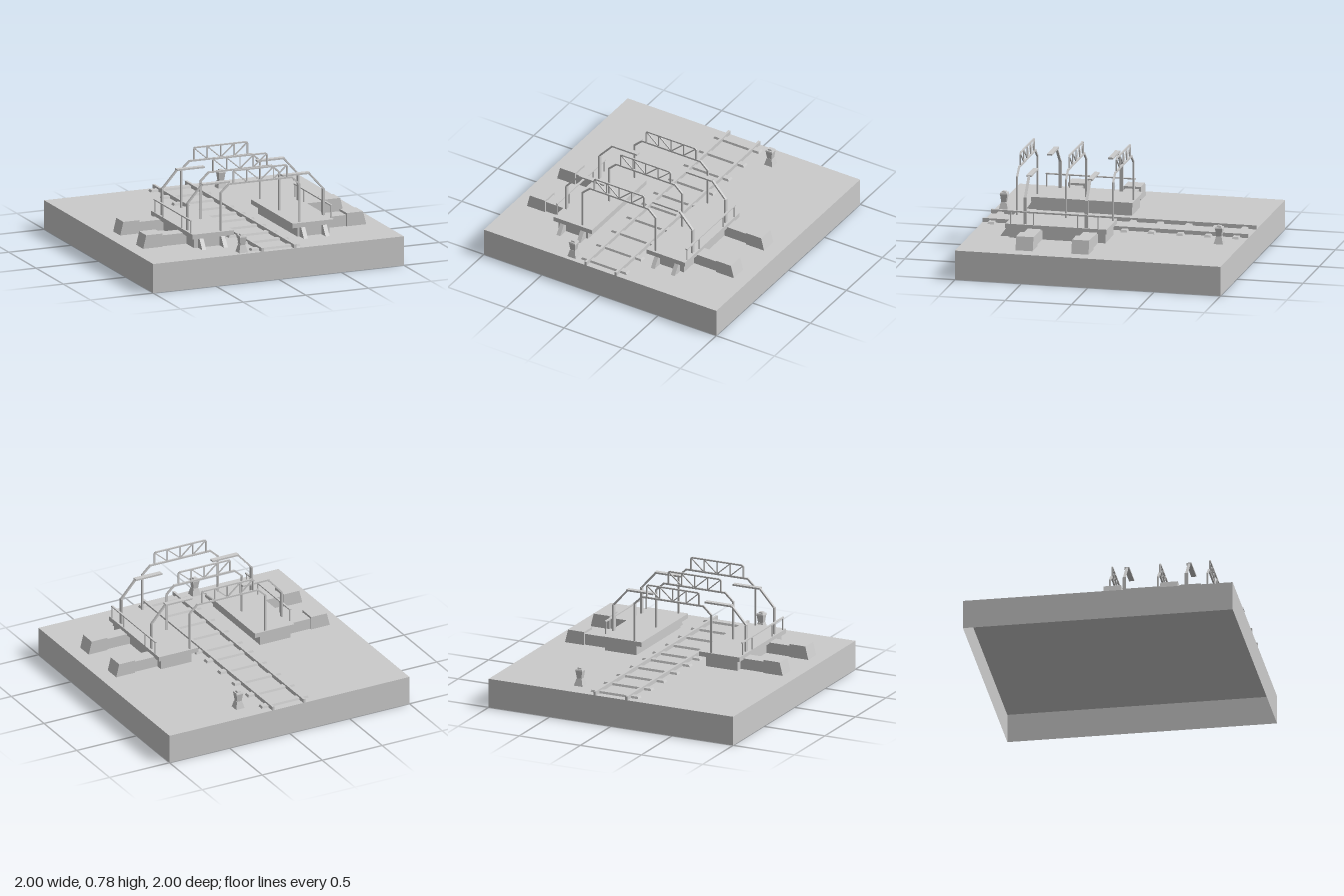
import * as THREE from 'three';

const GROUND = 0.22, DECK = 0.33;

export function createModel() {
  const model = new THREE.Group();
  const mat = new THREE.MeshStandardMaterial({ color: 0xcccccc, flatShading: true });
  const thinMat = new THREE.MeshStandardMaterial({ color: 0xcccccc, flatShading: true, side: THREE.DoubleSide });

  const add = (parent, name, geo, material = mat) => {
    const mesh = new THREE.Mesh(geo, material);
    mesh.name = name;
    parent.add(mesh);
    return mesh;
  };
  const group = (name, parent = model) => {
    const g = new THREE.Group();
    g.name = name;
    parent.add(g);
    return g;
  };
  // Box given by its limits
  const block = (parent, name, x0, x1, y0, y1, z0, z1) => {
    const m = add(parent, name, new THREE.BoxGeometry(x1 - x0, y1 - y0, z1 - z0));
    m.position.set((x0 + x1) / 2, (y0 + y1) / 2, (z0 + z1) / 2);
    return m;
  };
  // Box whose top face has its own limits: [x0, x1, z0, z1]
  const taper = (parent, name, bottom, top, y0, y1) => {
    const geo = new THREE.BoxGeometry(2, 2, 2);
    const p = geo.attributes.position;
    for (let i = 0; i < p.count; i++) {
      const up = p.getY(i) > 0, r = up ? top : bottom;
      p.setXYZ(i, p.getX(i) > 0 ? r[1] : r[0], up ? y1 : y0, p.getZ(i) > 0 ? r[3] : r[2]);
    }
    geo.computeVertexNormals();
    return add(parent, name, geo);
  };
  // Square bars following points in an upright x-y plane
  const bars = (parent, name, points, z, w, depth = w) => {
    for (let i = 0; i < points.length - 1; i++) {
      const [ax, ay] = points[i], [bx, by] = points[i + 1];
      const m = add(parent, name, new THREE.BoxGeometry(Math.hypot(bx - ax, by - ay) + w * 0.4, w, depth));
      m.position.set((ax + bx) / 2, (ay + by) / 2, z);
      m.rotation.z = Math.atan2(by - ay, bx - ax);
    }
  };

  // Ground slab, open underneath
  const base = new THREE.BoxGeometry(2, GROUND, 2);
  const idx = Array.from(base.index.array);
  idx.splice(18, 6);
  base.setIndex(idx);
  base.clearGroups();
  add(model, 'groundBase', base, thinMat).position.y = GROUND / 2;

  // Railway track
  const track = group('track');
  for (const z of [-0.915, -0.705, -0.495, -0.28, -0.075, 0.09, 0.3, 0.51, 0.72, 0.925]) {
    taper(track, 'sleeper', [-0.195, 0.197, z - 0.026, z + 0.026],
      [-0.187, 0.189, z - 0.021, z + 0.021], GROUND, 0.236);
  }
  for (const x of [-0.125, 0.133]) block(track, 'rail', x - 0.009, x + 0.009, GROUND, 0.25, -1, 1);

  // The two platforms are mirrored about x = -0.004
  for (const s of [-1, 1]) {
    const side = group(s < 0 ? 'rightPlatform' : 'leftPlatform');
    const X = (x) => -0.004 + s * x;
    const span = (a, b) => [Math.min(X(a), X(b)), Math.max(X(a), X(b))];

    block(side, 'platformDeck', ...span(0.235, 0.565), 0.295, DECK, -0.035, 0.728);
    block(side, 'platformBody', ...span(0.285, 0.54), GROUND, 0.295, -0.02, 0.7);

    // Sloping supports at the front end
    for (const x of [0.319, 0.492]) {
      const w = span(x - 0.016, x + 0.016);
      taper(side, 'frontBrace', [...w, 0.69, 0.778], [...w, 0.69, 0.725], GROUND, 0.296);
    }

    // Side walkways ending in taller blocks with a sloping outer face
    for (const z of [0.087, 0.507]) {
      block(side, 'walkway', ...span(0.54, 0.74), GROUND, 0.303, z - 0.052, z + 0.052);
      taper(side, 'endBlock', [...span(0.735, 0.89), z - 0.065, z + 0.065],
        [...span(0.735, 0.865), z - 0.065, z + 0.065], GROUND, 0.32);
    }

    // Railing along the outer edge
    const railing = group('railing', side);
    block(railing, 'handrail', ...span(0.552, 0.566), 0.422, 0.431, 0.017, 0.695);
    for (const z of [0.03, 0.183, 0.516, 0.688]) {
      block(railing, 'railingPost', ...span(0.555, 0.563), DECK, 0.425, z - 0.004, z + 0.004);
    }

    // Bent lamp posts reaching over the deck
    for (const z of [0.122, 0.583]) {
      const lamp = group('lampPost', side);
      bars(lamp, 'lampUpright', [[X(0.542), DECK], [X(0.542), 0.53]], z, 0.013, 0.026);
      bars(lamp, 'lampArm', [[X(0.542), 0.53], [X(0.425), 0.66]], z, 0.012, 0.018);
      block(lamp, 'lampHead', ...span(0.21, 0.43), 0.656, 0.669, z - 0.019, z + 0.019);
    }
  }

  // Gantries across the track, each with a truss on top
  for (const z of [-0.02, 0.335, 0.703]) {
    const gantry = group('gantry');
    bars(gantry, 'gantryFrame', [[-0.332, DECK], [-0.332, 0.618], [-0.268, 0.677],
      [0.232, 0.677], [0.296, 0.618], [0.296, DECK]], z, 0.013);
    bars(gantry, 'trussOutline', [[-0.232, 0.677], [-0.232, 0.762], [-0.22, 0.774],
      [0.184, 0.774], [0.196, 0.762], [0.196, 0.677]], z, 0.011);
    for (let i = 0; i < 4; i++) {
      const a = -0.232 + i * 0.107, b = a + 0.107;
      if (i) bars(gantry, 'trussUpright', [[a, 0.677], [a, 0.774]], z, 0.008);
      bars(gantry, 'trussDiagonal', i < 2 ? [[a, 0.772], [b, 0.679]] : [[a, 0.679], [b, 0.772]], z, 0.008);
    }
  }

  // Square trackside marker posts
  for (const [x, z] of [[0.335, -0.83], [-0.265, 0.935]]) {
    const post = group('markerPost');
    const sq = (r) => [x - r, x + r, z - r, z + r];
    taper(post, 'markerFoot', sq(0.035), sq(0.021), GROUND, 0.275);
    taper(post, 'markerHead', sq(0.019), sq(0.027), 0.275, 0.335);
    taper(post, 'markerRim', sq(0.029), sq(0.026), 0.335, 0.345);
    taper(post, 'markerCap', sq(0.017), sq(0.014), 0.345, 0.356);
  }
  return model;
}
